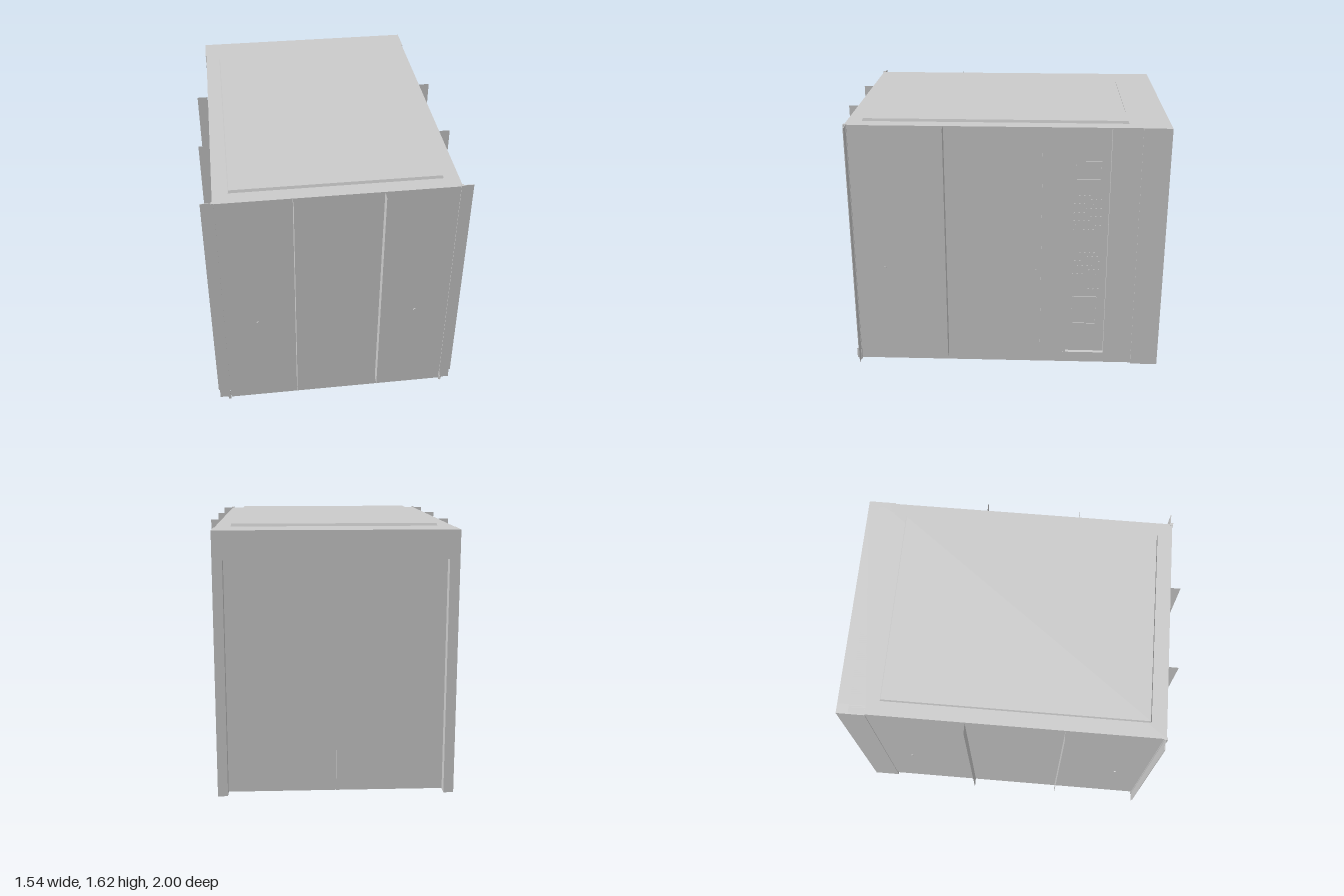
import * as THREE from 'three';

export function createModel() {
  const model = new THREE.Group();
  const grey = new THREE.MeshStandardMaterial({ color: 0xcccccc });
  const thin = new THREE.MeshStandardMaterial({ color: 0xcccccc, side: THREE.DoubleSide });

  const add = (name, geometry, material = grey) => {
    const mesh = new THREE.Mesh(geometry, material);
    mesh.name = name;
    model.add(mesh);
    return mesh;
  };
  // Box given by its limits on each axis
  const box = (name, x0, x1, y0, y1, z0, z1) =>
    add(name, new THREE.BoxGeometry(x1 - x0, y1 - y0, z1 - z0))
      .position.set((x0 + x1) / 2, (y0 + y1) / 2, (z0 + z1) / 2);
  // Thin upright sheet across x (turned = false) or along z (turned = true)
  const sheet = (name, x, y0, y1, z, width, turned) => {
    const mesh = add(name, new THREE.PlaneGeometry(width, y1 - y0), thin);
    mesh.position.set(x, (y0 + y1) / 2, z);
    if (turned) mesh.rotation.y = Math.PI / 2;
  };

  // Cabin walls: footprint with a tall service niche in the left side
  const W = 0.705, niche = 0.67;
  const footprint = new THREE.Shape([
    [-W, -0.94], [W, -0.94], [W, 0.385], [niche, 0.385], [niche, 0.65], [W, 0.65], [W, 0.93], [-W, 0.93],
  ].map(([x, y]) => new THREE.Vector2(x, y)));
  const walls = add('walls', new THREE.ExtrudeGeometry(footprint, { depth: 1.51, bevelEnabled: false }));
  walls.rotation.x = -Math.PI / 2;
  walls.position.y = 0.08;

  // Base and roof
  box('base', -0.695, 0.695, 0.01, 0.08, -0.93, 0.935);
  box('roof', -W, W, 1.59, 1.6, -0.93, 0.94);
  const panel = add('roofPanel', new THREE.CylinderGeometry(0.61 * Math.SQRT2, 0.615 * Math.SQRT2, 0.016, 4)
    .rotateY(Math.PI / 4).scale(1, 1, 0.7975 / 0.6125), new THREE.MeshStandardMaterial({ color: 0xcccccc, flatShading: true }));
  panel.position.set(0, 1.608, 0.048);

  // Rear portal and the two door leaves
  box('lintel', -0.65, 0.65, 1.43, 1.6, -1, -0.83);
  for (const s of [-1, 1]) {
    box('rearPost', s * 0.68 - 0.03, s * 0.68 + 0.03, 0.01, 1.6, -1, -0.83);
    box('doorLeaf', s * 0.3265 - 0.3235, s * 0.3265 + 0.3235, 0.012, 1.43, -0.936, -0.928);
  }

  for (const s of [-1, 1]) {
    // Front corner posts and their flanges
    box('cornerPost', s * 0.704 - 0.008, s * 0.704 + 0.008, 0.005, 1.605, 0.925, 0.945);
    box('cornerFlange', s * 0.74 - 0.032, s * 0.74 + 0.032, 0.08, 1.6, 0.928, 0.932);
    sheet('baseFlange', s * 0.735, 0.01, 0.08, 0.93, 0.06, false);
    sheet('baseFlange', s * 0.7, 0.01, 0.08, 0.945, 0.025, true);
    // Stiffening fins on the front and sides
    sheet('frontFin', s * 0.26, 0.08, 1.6, 0.97, 0.06, true);
    for (const z of [0.35, -0.24]) sheet('sideFin', s * 0.74, 0.08, 1.6, z, 0.065, false);
    // Wall plugs
    const plug = new THREE.CylinderGeometry(0.01, 0.01, 0.006, 12);
    add('frontPlug', plug.clone().rotateX(Math.PI / 2)).position.set(s * 0.49, 0.67, 0.942);
    for (const z of [0.74, s > 0 ? -0.21 : -0.65])
      add('sidePlug', plug.clone().rotateZ(Math.PI / 2)).position.set(s * 0.707, 0.67, z);
  }

  // Service panel in the niche: two framed hatches and rows of small studs
  box('panelStrip', niche, niche + 0.02, 0.08, 1.59, -0.405, -0.385);
  for (const [y0, y1] of [[0.28, 0.47], [1.265, 1.38]]) {
    for (const y of [y0, y1]) box('hatchRail', niche, niche + 0.006, y - 0.003, y + 0.003, -0.595, -0.445);
    for (const z of [-0.595, -0.445]) box('hatchStile', niche, niche + 0.006, y0, y1, z - 0.003, z + 0.003);
  }
  const studs = new THREE.InstancedMesh(new THREE.BoxGeometry(0.004, 0.008, 0.008), grey, 96);
  const placed = new THREE.Matrix4();
  for (let i = 0; i < 96; i++) {
    const row = Math.floor(i / 6);
    const y = row < 9 ? 1.16 - row * 0.028 : row < 15 ? 0.78 - (row - 9) * 0.03 : 0.53;
    placed.makeTranslation(niche + 0.002, y, -0.44 - (i % 6) * 0.03 - (row % 2) * 0.012);
    studs.setMatrixAt(i, placed);
  }
  studs.name = 'panelStuds';
  model.add(studs);

  // Drain boss under the floor
  add('drainBoss', new THREE.CylinderGeometry(0.06, 0.06, 0.012, 24)).position.set(0, 0.006, -0.12);

  return model;
}
